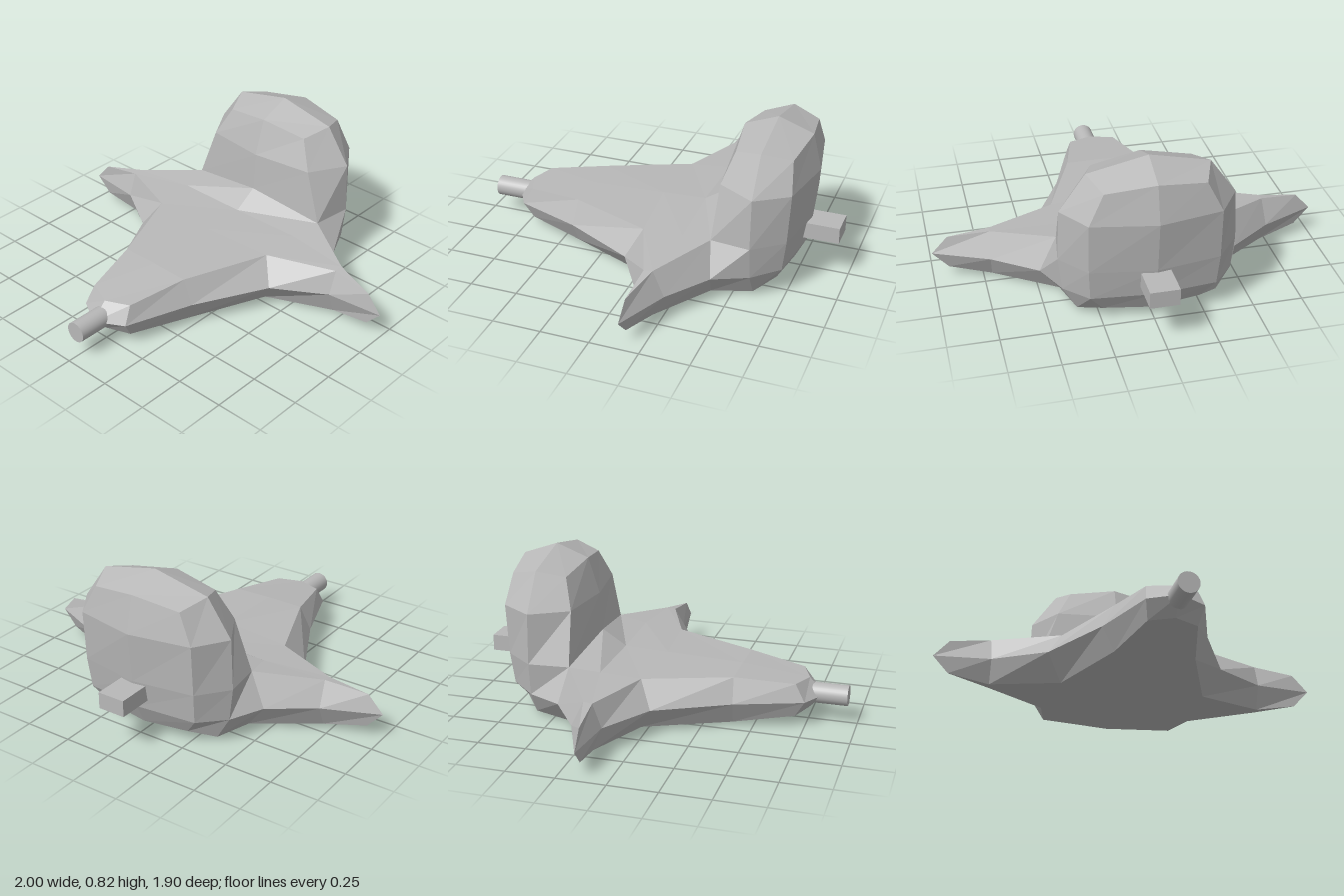
import * as THREE from 'three';

const grey = new THREE.MeshStandardMaterial({ color: 0xb8b8b8, flatShading: true });
grey.name = 'hull grey';
const greySmooth = new THREE.MeshStandardMaterial({ color: 0xb8b8b8 });
greySmooth.name = 'hull grey';

// Half-outlines (x >= 0), running from the nose round the wing tip to the stern
const mid = [[0, .14, .83], [.14, .14, .75], [.26, .14, .41], [.45, .14, .04], [.71, .14, -.12],
  [1, .14, -.15], [.72, .14, -.27], [.5, .14, -.425], [.42, .14, -.6], [.31, .15, -.73], [0, .16, -.775]];
const low = [[0, .06, .75], [.12, .055, .7], [.2, .02, .4], [.37, .01, -.03], [.71, .02, -.165],
  [.92, .055, -.155], [.71, .02, -.21], [.4, .01, -.4], [.35, .02, -.6], [.24, .06, -.69], [0, .05, -.72]];
const top = [[0, .225, .75], [.125, .23, .7], [.2, .262, .4], [.37, .27, -.03], [.71, .262, -.165],
  [.92, .23, -.155], [.71, .267, -.21], [.41, .305, -.395]];

// Tower half-rings: front centre, front corner, side, back corner, back centre
const tower = [
  [[0, .37, -.355], top[7], [.44, .31, -.6], [.32, .31, -.75], [0, .31, -.8]],
  [[0, .57, -.37], [.32, .57, -.41], [.43, .57, -.6], [.32, .57, -.765], [0, .57, -.825]],
  [[0, .755, -.43], [.245, .72, -.46], [.3, .755, -.6], [.245, .72, -.745], [0, .755, -.78]],
];

function band(lower, upper, from, to) {
  const faces = [];
  for (let i = from; i < to; i++) faces.push([lower[i], lower[i + 1], upper[i + 1], upper[i]]);
  return faces;
}

// Deck of one half: strips out from the centre line, plus the wing
function deck(t, centre, inner) {
  const [c2, c3, cIn, cBack] = centre;
  return [
    [t[0], t[1], t[2], c2], [c2, t[2], t[3], c3], [c3, t[3], inner, cIn], [cIn, inner, t[7], cBack],
    [t[3], t[4], t[6], inner], [inner, t[6], t[7]], [t[4], t[5], t[6]],
  ];
}

// Flat-sided surface from half faces, mirrored across x = 0
function mirroredGeometry(faces) {
  const pos = [];
  const add = (f) => {
    for (let i = 1; i < f.length - 1; i++) pos.push(...f[0], ...f[i], ...f[i + 1]);
  };
  for (const f of faces) {
    add(f);
    add(f.map(([x, y, z]) => [-x, y, z]).reverse());
  }
  const g = new THREE.BufferGeometry();
  g.setAttribute('position', new THREE.Float32BufferAttribute(pos, 3));
  g.computeVertexNormals();
  return g;
}

export function createModel() {
  const group = new THREE.Group();
  const addMesh = (name, geometry, material, x = 0, y = 0, z = 0) => {
    const m = new THREE.Mesh(geometry, material);
    m.name = name;
    m.position.set(x, y, z);
    group.add(m);
    return m;
  };

  // Winged body: bevelled rim, upper deck and belly
  const sternC = [0, 0, -.6];
  const bellyCentre = [[0, .018, .4], [0, .006, 0], [0, 0, -.23], [0, .003, -.4]];
  const belly = [
    ...deck(low, bellyCentre, [.38, .004, -.22]),
    [bellyCentre[3], low[7], low[8], sternC],
    [sternC, low[8], low[9], low[10]],
  ].map((f) => f.slice().reverse());
  const body = [
    ...band(low, mid, 0, 10),
    ...band(mid, top, 0, 7),
    ...band(mid.slice(7), tower[0].slice(1), 0, 3),
    ...deck(top, [[0, .265, .4], [0, .28, 0], [0, .29, -.23], tower[0][0]], [.38, .285, -.24]),
    ...belly,
  ];
  addMesh('wingedBody', mirroredGeometry(body), grey);

  // Tall rear tower
  const crown = [0, .82, -.6];
  const [a, b, c, d, e] = tower[2];
  addMesh('rearTower', mirroredGeometry([
    ...band(tower[0], tower[1], 0, 4),
    ...band(tower[1], tower[2], 0, 4),
    [a, b, c, crown], [crown, c, d, e],
  ]), grey);

  // Nose barrel and rear block
  const barrel = new THREE.CylinderGeometry(.053, .053, .25, 32);
  barrel.rotateX(Math.PI / 2);
  addMesh('noseBarrel', barrel, greySmooth, .003, .145, .825);
  addMesh('rearBlock', new THREE.BoxGeometry(.145, .085, .2), grey, .005, .255, -.855);
  return group;
}
